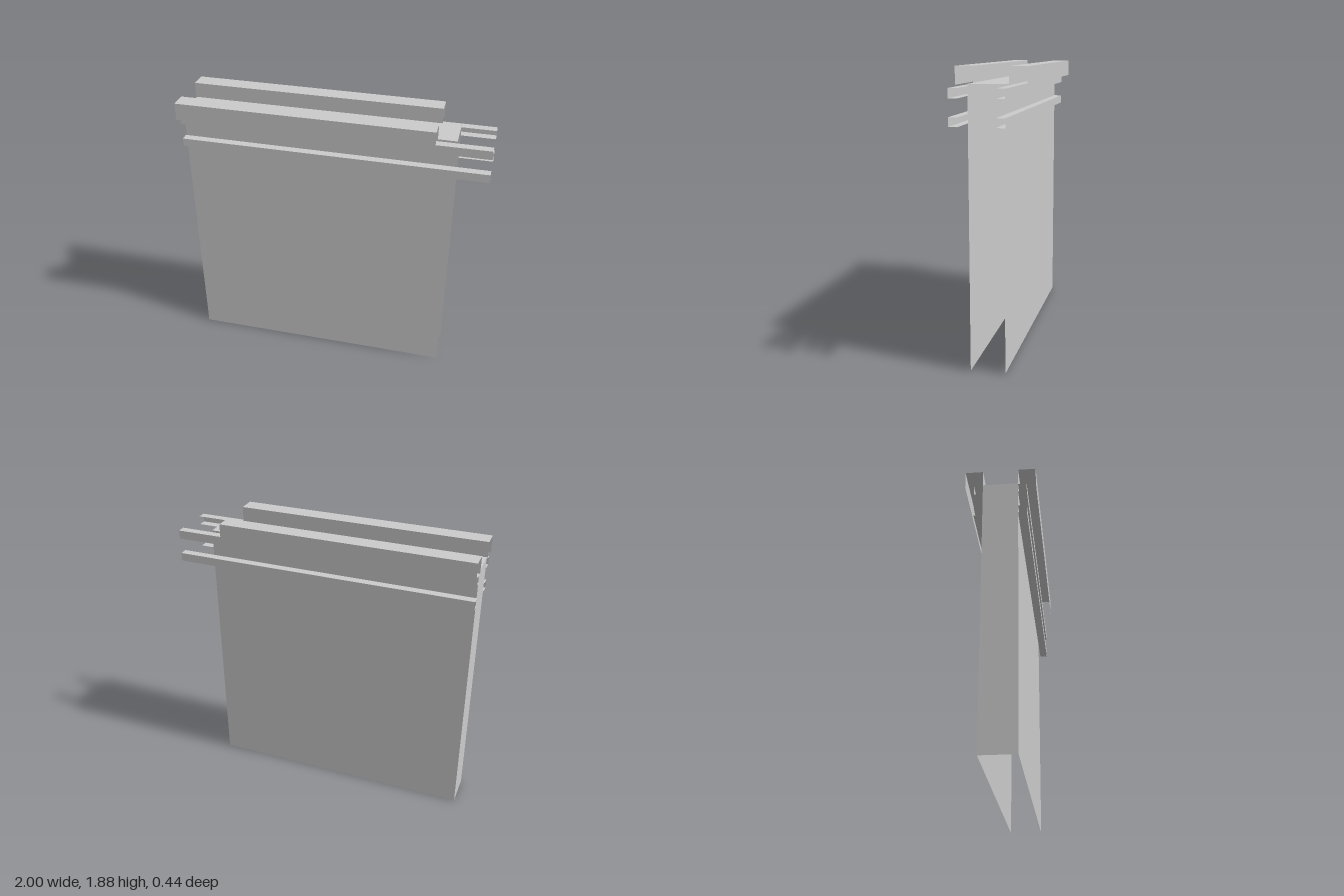
import * as THREE from 'three';

const material = new THREE.MeshStandardMaterial({ color: 0xcccccc, side: THREE.DoubleSide });

// Sweeps an open [z, y] profile along x as flat, thin sheets with open ends.
function sheet(name, profile, x0, x1) {
  const positions = [];
  for (let i = 0; i < profile.length - 1; i++) {
    const [za, ya] = profile[i];
    const [zb, yb] = profile[i + 1];
    positions.push(x0, ya, za, x1, ya, za, x1, yb, zb);
    positions.push(x0, ya, za, x1, yb, zb, x0, yb, zb);
  }
  const geometry = new THREE.BufferGeometry();
  geometry.setAttribute('position', new THREE.Float32BufferAttribute(positions, 3));
  geometry.computeVertexNormals();
  const mesh = new THREE.Mesh(geometry, material);
  mesh.name = name;
  return mesh;
}

// Mirrors a profile to the back, keeping its faces outward.
const mirrored = (profile) => profile.map(([z, y]) => [-z, y]).reverse();

export function createModel() {
  const group = new THREE.Group();
  group.name = 'wallSection';
  const half = 0.111, wallTop = 1.78, wallLeft = 0.78, wallRight = -0.995;

  // Hollow wall: front, top and back sheets, open below and at the left end
  group.add(sheet('wallPanels',
    [[half, 0], [half, wallTop], [-half, wallTop], [-half, 0]], wallRight, wallLeft));

  // Closed right end of the wall
  const end = new THREE.Mesh(new THREE.PlaneGeometry(half * 2, wallTop), material);
  end.name = 'wallEnd';
  end.rotation.y = -Math.PI / 2;
  end.position.set(wallRight, wallTop / 2, 0);
  group.add(end);

  // Two channel rails per side, webs outward and flanges against the wall
  const rails = [['lowerRail', 1.55, 1.605], ['upperRail', 1.71, 1.767]];
  for (const [name, y0, y1] of rails) {
    const profile = [[half, y0], [0.165, y0], [0.165, y1], [half, y1]];
    group.add(sheet(name + 'Front', profile, -1, 1));
    group.add(sheet(name + 'Back', mirrored(profile), -1, 1));
  }

  // Inverted channel caps along both top edges
  const cap = [[0.222, 1.767], [0.222, 1.88], [half, 1.88], [half, 1.767]];
  group.add(sheet('capFront', cap, -1, 0.66));
  group.add(sheet('capBack', mirrored(cap), -1, 0.66));

  return group;
}
